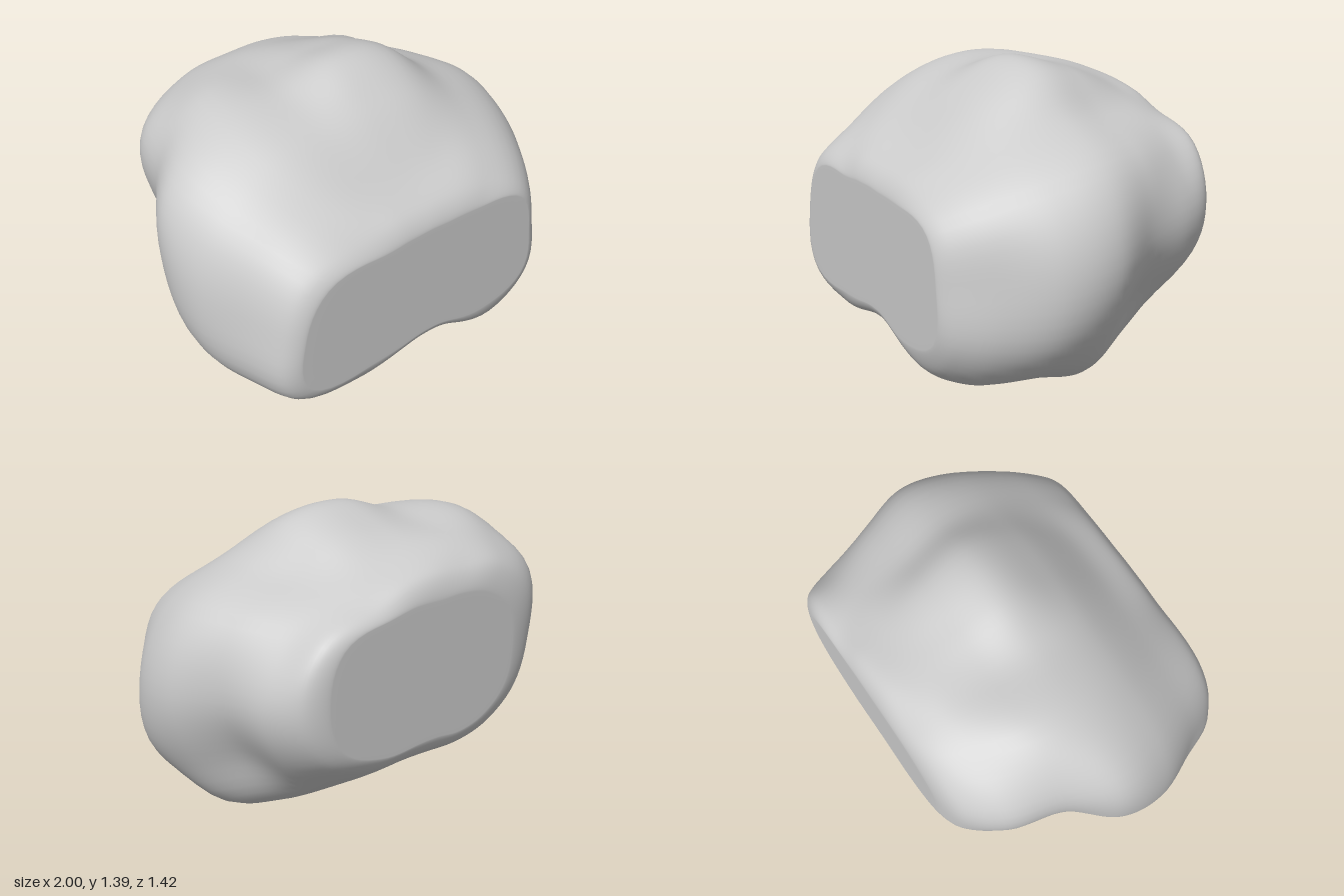
import * as THREE from 'three';

// Cross-sections from front to back: depth, and radii at 16 angles
// counter-clockwise from +x.
const DEPTHS = [0.71, 0.66, 0.5, 0.25, 0, -0.25, -0.5, -0.66, -0.71];
const RADII = [
  [.63, .60, .41, .32, .30, .32, .40, .63, .71, .73, .46, .33, .29, .33, .49, .65],
  [.70, .67, .51, .41, .38, .41, .50, .72, .79, .83, .60, .42, .36, .41, .65, .75],
  [.82, .78, .62, .50, .46, .50, .63, .82, .87, .90, .70, .47, .41, .46, .77, .87],
  [.97, .89, .73, .68, .64, .66, .80, .96, .99, .97, .77, .50, .45, .50, .83, .97],
  [.99, .93, .75, .76, .735, .71, .87, 1.01, .98, .93, .82, .55, .47, .55, .91, .96],
  [.88, .85, .68, .68, .645, .665, .84, .90, .80, .70, .69, .54, .48, .55, .83, .82],
  [.82, .73, .60, .54, .54, .595, .71, .82, .74, .67, .62, .52, .47, .51, .68, .78],
  [.74, .68, .51, .46, .45, .48, .58, .66, .62, .59, .52, .45, .41, .44, .56, .70],
  [.62, .59, .43, .36, .33, .36, .42, .47, .46, .46, .42, .37, .33, .36, .47, .60],
];
const SIDES = 96, STEPS = 8, LAST = DEPTHS.length - 1;

// How a list continues past its ends
const wrap = (k, n) => (k + n) % n;
const clamp = (k, n) => THREE.MathUtils.clamp(k, 0, n - 1);
const reflect = (k, n) => (k < 0 ? -k : k >= n ? 2 * (n - 1) - k : k);

// Smooth curve through a list of values
function sample(list, u, extend) {
  const i = Math.floor(u), t = u - i;
  const [a, b, c, d] = [-1, 0, 1, 2].map((o) => list[extend(i + o, list.length)]);
  const m0 = (c - a) / 2, m1 = (d - b) / 2;
  return b + t * (m0 + t * (3 * (c - b) - 2 * m0 - m1 + t * (2 * (b - c) + m0 + m1)));
}

function boulderGeometry() {
  // Rows along the depth, closed by flat faces at both ends
  const rows = [[0, 0], [0, 0.5], [0, 0.92]];
  for (let k = 0; k <= LAST * STEPS; k++) rows.push([k / STEPS, 1]);
  rows.push([LAST, 0.92], [LAST, 0.5], [LAST, 0]);

  const positions = [], index = [];
  rows.forEach(([v, scale], i) => {
    const z = sample(DEPTHS, v, reflect); // reflecting rounds the rims
    const centreY = 0.65 - z * 0.1 / 0.7;
    const ring = RADII[0].map((_, k) => sample(RADII.map((row) => row[k]), v, clamp));
    for (let j = 0; j < SIDES; j++) {
      const angle = (j / SIDES) * Math.PI * 2;
      const r = scale * sample(ring, (j / SIDES) * ring.length, wrap);
      positions.push(r * Math.cos(angle), centreY + r * Math.sin(angle), z);
      if (i === rows.length - 1) continue;
      const a = i * SIDES + j, b = i * SIDES + (j + 1) % SIDES;
      const c = a + SIDES, d = b + SIDES;
      if (i === 0) index.push(a, c, d);
      else index.push(a, c, b);
      if (i > 0 && i < rows.length - 2) index.push(b, c, d);
    }
  });

  const geometry = new THREE.BufferGeometry();
  geometry.setAttribute('position', new THREE.Float32BufferAttribute(positions, 3));
  geometry.setIndex(index);

  // Rest on the ground
  geometry.computeBoundingBox();
  geometry.translate(0, -geometry.boundingBox.min.y, 0);
  geometry.computeVertexNormals();
  return geometry;
}

export function createModel() {
  const group = new THREE.Group();
  group.name = 'rock';
  const boulder = new THREE.Mesh(
    boulderGeometry(),
    new THREE.MeshStandardMaterial({ color: 0xcccccc })
  );
  boulder.name = 'boulder';
  group.add(boulder);
  return group;
}
